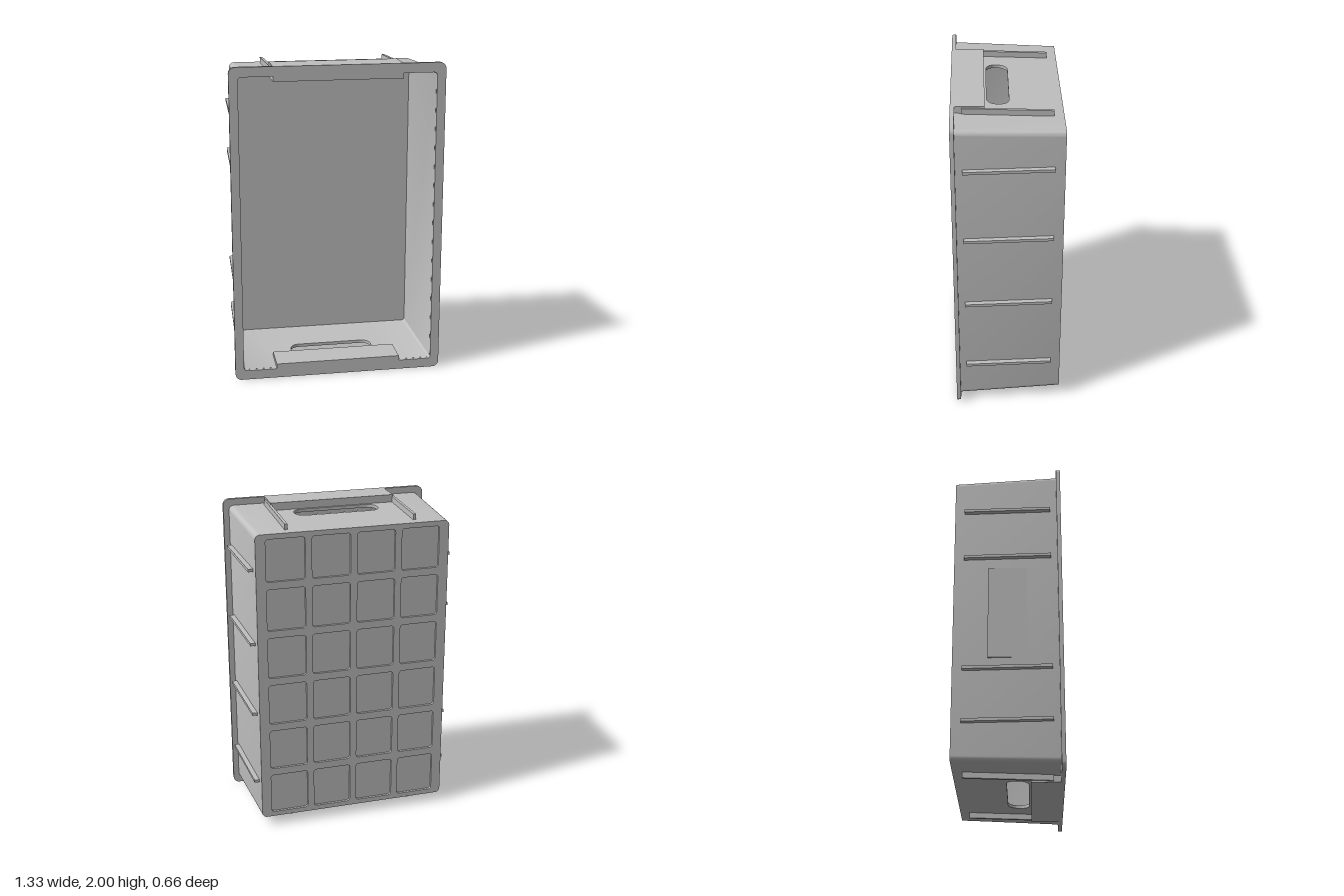
import * as THREE from 'three';
import { toCreasedNormals } from 'three/addons/utils/BufferGeometryUtils.js';

const BACK = -0.33, WALL_FRONT = 0.31, SLOPE = 0.038;
const HALF_X = 0.605, HALF_Y = 0.935, WALL = 0.02; // wall size at the back

// Rounded rectangle centred on (cx, cy)
function roundRect(w, h, r, cx = 0, cy = 0, Type = THREE.Shape) {
  const s = new Type(), x = w / 2, y = h / 2;
  s.absarc(cx + x - r, cy + y - r, r, 0, Math.PI / 2);
  s.absarc(cx - x + r, cy + y - r, r, Math.PI / 2, Math.PI);
  s.absarc(cx - x + r, cy - y + r, r, Math.PI, Math.PI * 1.5);
  s.absarc(cx + x - r, cy - y + r, r, Math.PI * 1.5, Math.PI * 2);
  s.closePath();
  return s;
}

function extrude(shape, depth) {
  return new THREE.ExtrudeGeometry(shape, { depth, bevelEnabled: false, curveSegments: 6 });
}

// Widen the crate towards its open front
function draft(geo) {
  const p = geo.attributes.position;
  for (let i = 0; i < p.count; i++) {
    const t = SLOPE * (p.getZ(i) - BACK), x = p.getX(i), y = p.getY(i);
    if (Math.abs(x) > 0.5) p.setX(i, x + Math.sign(x) * t);
    if (Math.abs(y - 1) > 0.8) p.setY(i, y + Math.sign(y - 1) * t);
  }
  return geo;
}

// Box given by its lower and upper corners
function box(x0, x1, y0, y1, z0, z1) {
  return new THREE.BoxGeometry(x1 - x0, y1 - y0, z1 - z0)
    .translate((x0 + x1) / 2, (y0 + y1) / 2, (z0 + z1) / 2);
}

// C-shaped section: one side wall with its two rounded corners
function sideSection(s) {
  const shape = new THREE.Shape();
  const path = (hx, hy, r, dir) => {
    const pts = [[0.3, 1 + hy]];
    for (const q of [1, -1]) {
      for (let i = 0; i <= 6; i++) {
        const a = (q > 0 ? 6 - i : -i) * Math.PI / 12;
        pts.push([hx - r + r * Math.cos(a), 1 + q * (hy - r) + r * Math.sin(a)]);
      }
    }
    pts.push([0.3, 1 - hy]);
    return dir > 0 ? pts : pts.reverse();
  };
  const pts = [...path(HALF_X, HALF_Y, 0.03, 1), ...path(HALF_X - WALL, HALF_Y - WALL, 0.015, -1)];
  shape.setFromPoints(pts.map(([x, y]) => new THREE.Vector2(s * x, y)));
  return shape;
}

export function createModel() {
  const model = new THREE.Group();
  model.name = 'storageCrate';
  const grey = new THREE.MeshStandardMaterial({ color: 0xc0c0c0 });
  grey.name = 'greyPlastic';

  const add = (name, geo) => {
    const mesh = new THREE.Mesh(toCreasedNormals(geo, 0.6), grey);
    mesh.name = name;
    model.add(mesh);
  };

  // Side walls with rounded corners
  for (const s of [1, -1]) {
    const geo = extrude(sideSection(s), WALL_FRONT - BACK).translate(0, 0, BACK);
    add(s > 0 ? 'leftWall' : 'rightWall', draft(geo));
  }

  // End walls with grip slots
  for (const top of [true, false]) {
    const panel = new THREE.Shape([
      new THREE.Vector2(-0.3, BACK), new THREE.Vector2(0.3, BACK),
      new THREE.Vector2(0.3, WALL_FRONT), new THREE.Vector2(-0.3, WALL_FRONT)]);
    panel.holes.push(roundRect(0.54, 0.133, 0.06, 0, 0.051, THREE.Path));
    const geo = extrude(panel, WALL).rotateX(Math.PI / 2)
      .translate(0, top ? 1 + HALF_Y : 1 - HALF_Y + WALL, 0);
    add(top ? 'topEndWall' : 'bottomEndWall', draft(geo));
  }

  // Floor plate, and the lattice of shallow pockets behind it
  const ix = HALF_X - WALL, iy = HALF_Y - WALL;
  add('floorPlate', box(-ix - 0.005, ix + 0.005, 1 - iy - 0.005, 1 + iy + 0.005, -0.315, -0.303));
  const lattice = roundRect(2 * ix, 2 * iy, 0.01, 0, 1);
  for (let c = 0; c < 4; c++) {
    for (let r = 0; r < 6; r++) {
      lattice.holes.push(roundRect(0.24, 0.262, 0.018,
        (c - 1.5) * 0.282, 1 + (r - 2.5) * 0.309, THREE.Path));
    }
  }
  add('floorLattice', extrude(lattice, 0.017).translate(0, 0, BACK));

  // Flat rim around the opening
  const rim = roundRect(1.33, 2, 0.04, 0, 1);
  rim.holes.push(roundRect(1.22, 1.88, 0.02, 0, 1, THREE.Path));
  add('rim', extrude(rim, 0.025).translate(0, 0, 0.305));

  // Thick grip blocks and ribs on both ends
  for (const top of [true, false]) {
    const end = top ? 'top' : 'bottom';
    const span = (a, b) => (top ? [a, b] : [2 - b, 2 - a]);
    add(end + 'GripBlock', box(-0.4, 0.4, ...span(1.908, 2), 0.13, 0.33));
    for (const x of [-0.402, 0.402]) {
      add(end + 'EndRib', draft(box(x - 0.009, x + 0.009, ...span(1.92, 1.97), -0.27, 0.265)));
    }
  }

  // Side ribs; those on the right leave room for the label panel
  const ribs = { 1: [0.3, 0.77, 1.235, 1.705], '-1': [0.3, 0.63, 1.375, 1.705] };
  for (const s of [1, -1]) {
    for (const y of ribs[s]) {
      const [a, b] = s > 0 ? [0.59, 0.636] : [-0.636, -0.59];
      add(s > 0 ? 'leftRib' : 'rightRib', draft(box(a, b, y - 0.009, y + 0.009, -0.27, 0.265)));
    }
  }

  // Upright label panel fading into the sloped right wall
  add('labelPanel', box(-0.622, -0.605, 0.7, 1.3, -0.12, 0.15));

  return model;
}
